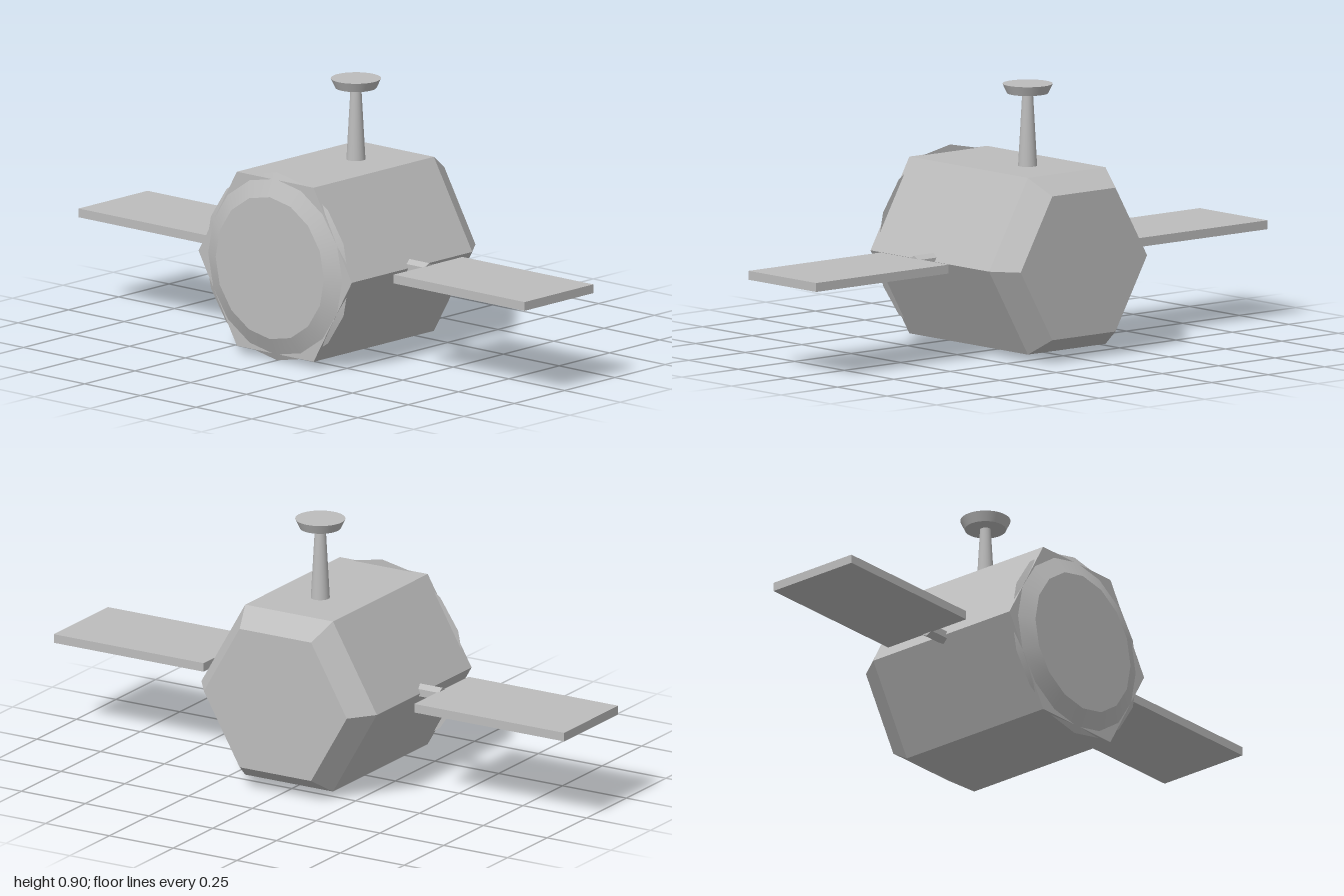
import * as THREE from 'three';

const CY = 0.322; // height of the body axis

export function createModel() {
  const model = new THREE.Group();
  const grey = new THREE.MeshStandardMaterial({ color: 0xbcbcbc });
  grey.name = 'hull grey';

  const add = (name, geometry, x, y, z) => {
    const mesh = new THREE.Mesh(geometry, grey);
    mesh.name = name;
    mesh.position.set(x, y, z);
    model.add(mesh);
    return mesh;
  };

  // Give a geometry hard facets
  const faceted = (geometry) => {
    const g = geometry.toNonIndexed();
    g.computeVertexNormals();
    return g;
  };

  // Frustum lying along x, from x0 (radius r0) to x1 (radius r1)
  const alongX = (x0, r0, x1, r1, sides, open = false) =>
    new THREE.CylinderGeometry(r1, r0, x1 - x0, sides, 1, open)
      .rotateZ(-Math.PI / 2).translate((x0 + x1) / 2, 0, 0);

  // Hexagonal body: straight hull and tapered nose
  add('hull', faceted(alongX(-0.33, 0.344, 0.268, 0.344, 6)), 0, CY, 0);
  add('nose', faceted(alongX(0.268, 0.344, 0.355, 0.28, 6)), 0, CY, 0);

  // Shallow round shield at the tail, its rim poking through the hull sides
  add('tailShield', alongX(-0.357, 0.243, -0.32, 0.322, 16), 0, CY, 0);

  // Antenna on top
  add('antennaMast', new THREE.CylinderGeometry(0.018, 0.032, 0.25, 24), 0.071, 0.742, 0);
  add('antennaDish', new THREE.CylinderGeometry(0.084, 0.069, 0.032, 32), 0.071, 0.881, 0);

  // Panels on hexagonal arms, one on each side
  for (const [side, label] of [[1, 'front'], [-1, 'back']]) {
    const arm = new THREE.CylinderGeometry(0.025, 0.025, 0.11, 6).rotateX(Math.PI / 2);
    add(label + 'PanelArm', faceted(arm), -0.028, CY + 0.001, side * 0.362);
    add(label + 'Panel', new THREE.BoxGeometry(0.342, 0.03, 0.587), -0.028, CY + 0.001, side * 0.7065);
  }
  return model;
}
